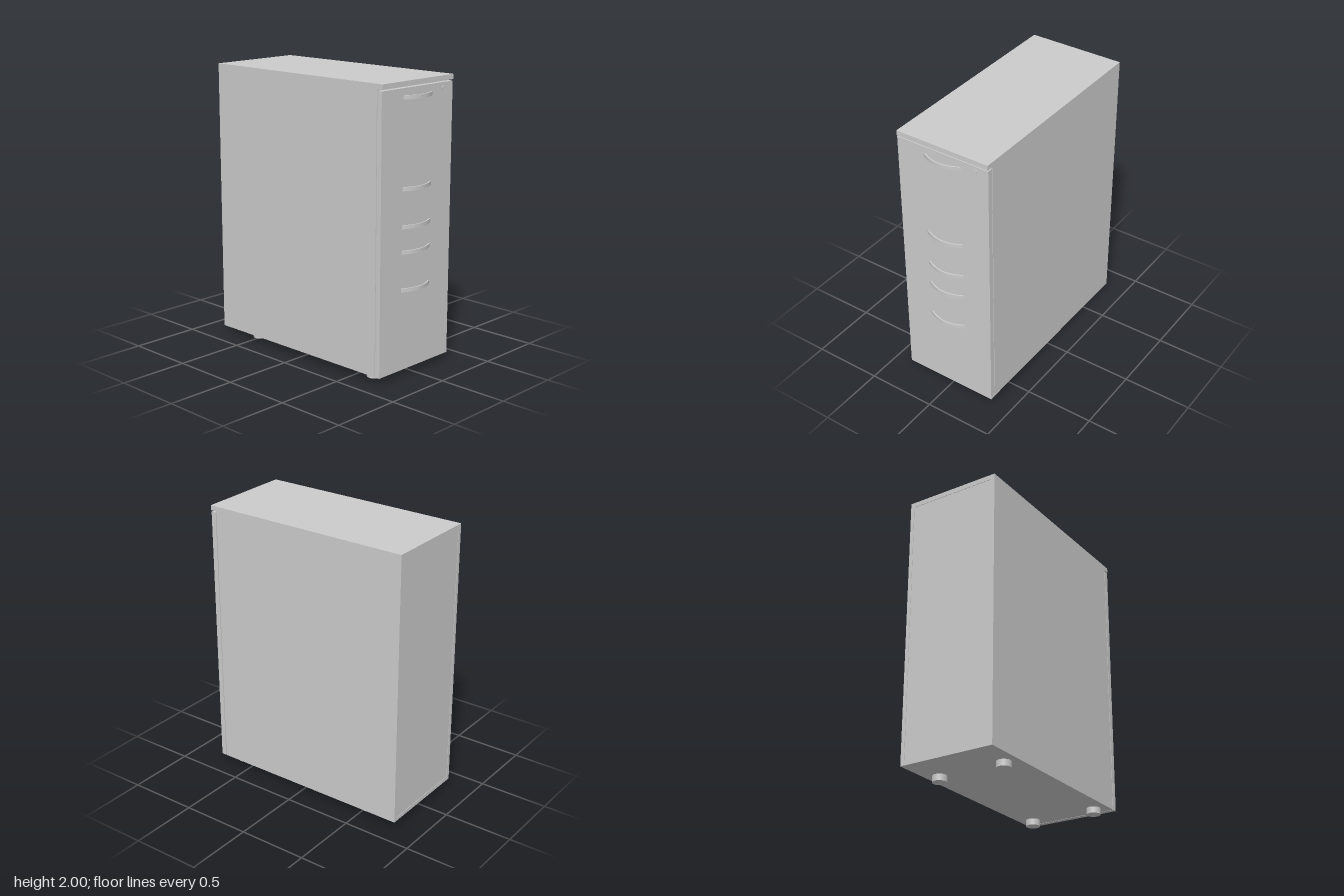
import * as THREE from 'three';

const W = 0.705, BACK = -0.8, BODY_FRONT = 0.708, FRONT = 0.75;
const BASE = 0.045, TOP = 2, SLAB = 0.035, WALL = 0.028;

export function createModel() {
  const group = new THREE.Group();
  const material = new THREE.MeshStandardMaterial({ color: 0xcccccc });

  function add(name, geometry, x = 0, y = 0, z = 0) {
    const mesh = new THREE.Mesh(geometry, material);
    mesh.name = name;
    mesh.position.set(x, y, z);
    group.add(mesh);
    return mesh;
  }

  // Box given by its lower and upper corners
  function panel(name, x0, x1, y0, y1, z0, z1) {
    add(name, new THREE.BoxGeometry(x1 - x0, y1 - y0, z1 - z0),
      (x0 + x1) / 2, (y0 + y1) / 2, (z0 + z1) / 2);
  }

  // Carcass: top, bottom, sides and back
  const h = W / 2, inner = h - WALL;
  panel('topPanel', -h, h, TOP - SLAB, TOP, BACK, 0.755);
  panel('bottomPanel', -inner, inner, BASE, BASE + WALL, BACK, BODY_FRONT);
  panel('leftSide', inner, h, BASE, TOP - SLAB, BACK, BODY_FRONT);
  panel('rightSide', -h, -inner, BASE, TOP - SLAB, BACK, BODY_FRONT);
  panel('backPanel', -inner, inner, BASE + WALL, TOP - SLAB, BACK + 0.003, BACK + 0.02);

  // Front panel, with a shadow gap above and behind it
  panel('frontPanel', -h, h, BASE, 1.955, BODY_FRONT + 0.005, FRONT);

  // Curved bow handles: flat crescent extruded upwards
  const handleHeight = 0.026;
  const bow = new THREE.Shape();
  bow.moveTo(-0.145, 0);
  bow.quadraticCurveTo(0, 0.094, 0.145, 0);
  bow.lineTo(0.127, 0);
  bow.quadraticCurveTo(0, 0.073, -0.127, 0);
  const handleGeometry = new THREE.ExtrudeGeometry(bow, {
    depth: handleHeight, bevelEnabled: false, curveSegments: 20,
  });
  handleGeometry.rotateX(Math.PI / 2); // shape y becomes z, depth runs down
  handleGeometry.translate(0, handleHeight / 2, 0);
  for (const y of [1.895, 1.295, 1.04, 0.868, 0.608]) {
    add('handle', handleGeometry, 0, y, FRONT);
  }

  // Round lock near the upper corner
  const lock = add('lock', new THREE.CylinderGeometry(0.014, 0.014, 0.008, 24), 0.255, 1.918, FRONT);
  lock.rotation.x = Math.PI / 2;

  // Four round feet
  const footGeometry = new THREE.CylinderGeometry(0.05, 0.05, BASE, 32);
  for (const x of [-0.25, 0.25]) {
    for (const z of [0.613, -0.517]) add('foot', footGeometry, x, BASE / 2, z);
  }

  return group;
}
